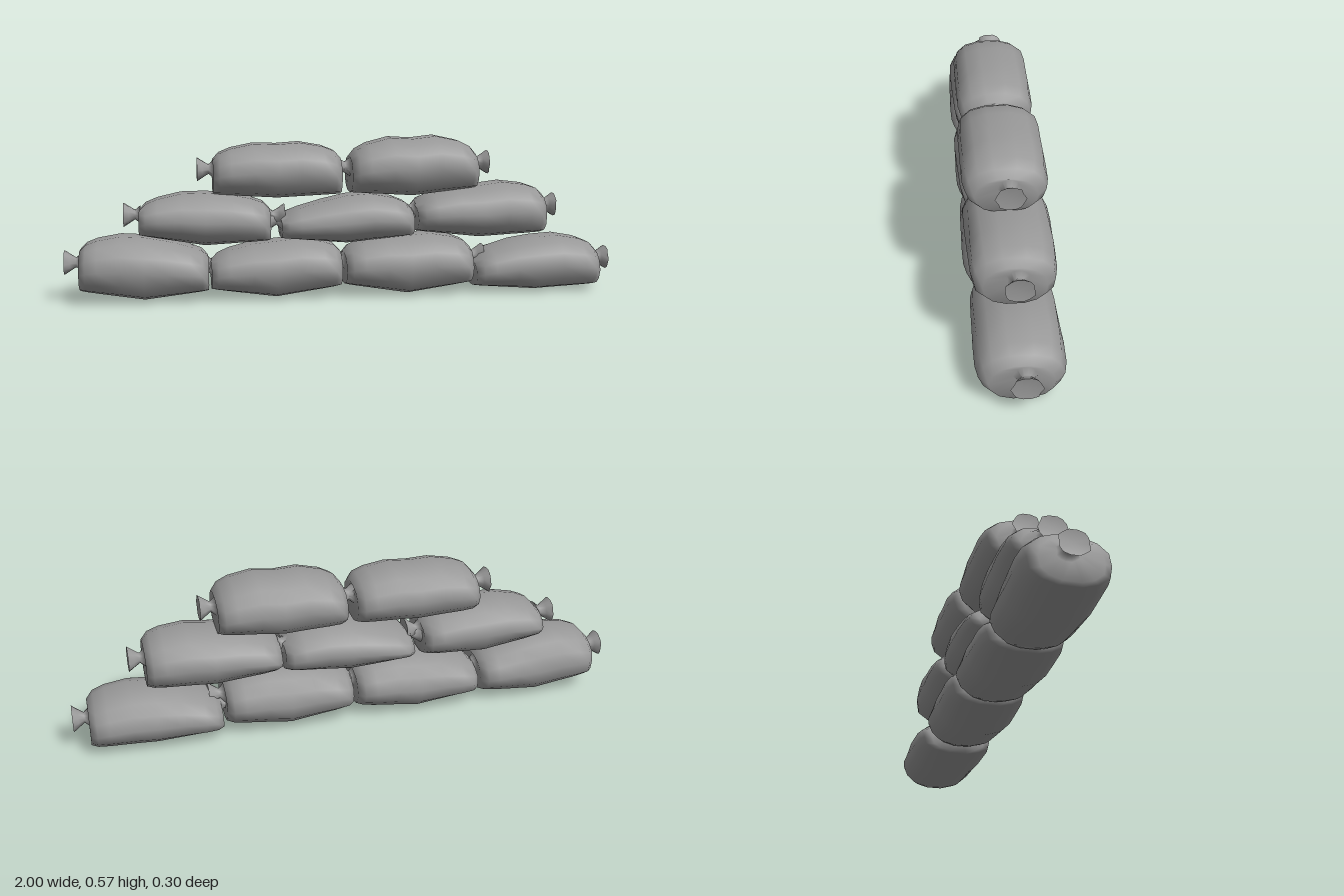
import * as THREE from 'three';

const SIDES = 14;

// Each bag: x range, z centre, half depth, heights along the top and the bottom
const BAGS = [
  // bottom row
  { name: 'bottomBag1', x: [-0.95, -0.5], z: 0.0, hz: 0.143, top: [0.2, 0.243, 0.236, 0.215, 0.17], bot: [0.045, 0.008, 0.035] },
  { name: 'bottomBag2', x: [-0.49, -0.025], z: 0.0, hz: 0.143, top: [0.15, 0.2, 0.212, 0.222, 0.18], bot: [0.04, 0.006, 0.04] },
  { name: 'bottomBag3', x: [-0.01, 0.455], z: 0.0, hz: 0.145, top: [0.17, 0.218, 0.222, 0.23, 0.185], bot: [0.045, 0.006, 0.04] },
  { name: 'bottomBag4', x: [0.47, 0.935], z: -0.008, hz: 0.144, top: [0.13, 0.185, 0.203, 0.211, 0.165], bot: [0.025, 0.006, 0.018] },
  // middle row
  { name: 'middleBag1', x: [-0.74, -0.28], z: 0.006, hz: 0.135, top: [0.34, 0.388, 0.39, 0.382, 0.34], bot: [0.24, 0.2, 0.212] },
  { name: 'middleBag2', x: [-0.24, 0.235], z: 0.005, hz: 0.142, top: [0.3, 0.345, 0.372, 0.38, 0.33], bot: [0.22, 0.198, 0.22] },
  { name: 'middleBag3', x: [0.25, 0.725], z: -0.003, hz: 0.144, top: [0.34, 0.39, 0.4, 0.415, 0.375], bot: [0.235, 0.208, 0.22] },
  // top row
  { name: 'topBag1', x: [-0.48, -0.025], z: 0.0, hz: 0.137, top: [0.515, 0.562, 0.558, 0.566, 0.52], bot: [0.38, 0.365, 0.375] },
  { name: 'topBag2', x: [0.01, 0.468], z: 0.004, hz: 0.144, top: [0.52, 0.58, 0.573, 0.586, 0.53], bot: [0.38, 0.365, 0.39] },
];

// Piecewise-linear sample of evenly spaced values, t from 0 to 1
function sample(values, t) {
  const f = Math.min(Math.max(t, 0), 1) * (values.length - 1);
  const i = Math.min(Math.floor(f), values.length - 2);
  return THREE.MathUtils.lerp(values[i], values[i + 1], f - i);
}

// Closed skin over rings of points running along +x
function loft(rings) {
  const pos = [], index = [];
  const n = SIDES;
  rings.forEach(ring => ring.forEach(p => pos.push(...p)));
  for (let i = 0; i < rings.length - 1; i++) {
    for (let j = 0; j < n; j++) {
      const a = i * n + j, b = i * n + (j + 1) % n;
      index.push(a, a + n, b, b, a + n, b + n);
    }
  }
  // End caps have their own vertices, so their rims stay crisp
  [rings[0], rings[rings.length - 1]].forEach((ring, end) => {
    const base = pos.length / 3;
    const c = [0, 1, 2].map(k => ring.reduce((s, p) => s + p[k], 0) / n);
    c[0] += end ? -0.006 : 0.006;
    ring.forEach(p => pos.push(...p));
    pos.push(...c);
    for (let j = 0; j < n; j++) {
      const a = base + j, b = base + (j + 1) % n;
      index.push(base + n, end ? b : a, end ? a : b);
    }
  });
  const geo = new THREE.BufferGeometry();
  geo.setAttribute('position', new THREE.Float32BufferAttribute(pos, 3));
  geo.setIndex(index);
  geo.computeVertexNormals();
  return geo;
}

// One squarish oval cross-section with a little lumpiness
function section(x, z, hz, bottom, top, lump, seed) {
  const mid = bottom + (top - bottom) * 0.48;
  const ring = [];
  for (let j = 0; j < SIDES; j++) {
    const a = (j / SIDES) * Math.PI * 2;
    const c = Math.sign(Math.cos(a)) * Math.abs(Math.cos(a)) ** 0.85;
    const s = Math.sign(Math.sin(a)) * Math.abs(Math.sin(a)) ** 0.9;
    const w = 1 + lump * Math.sin(j * 2.7 + x * 9 + seed * 1.9);
    ring.push([x, mid + s * (s > 0 ? top - mid : mid - bottom), z + c * hz * w]);
  }
  return ring;
}

function bagGeometry({ x: [x0, x1], z, hz, top, bot }, seed) {
  // Tied end: flare tip, neck, collar (offset outwards, radius)
  const tie = [[0.055, 0.043], [0.035, 0.03], [0.014, 0.017], [-0.004, 0.032]];
  const tieRings = (x, dir, t) => {
    const y = (sample(top, t) + sample(bot, t)) / 2 + 0.02;
    return tie.map(([d, r]) =>
      section(x + dir * d, z - 0.01, r * 1.12, y - r, y + r, 0.1, seed));
  };
  // Body: position along the bag, depth factor
  const body = [[0, 0.72], [0.05, 0.92], [0.14, 0.98], [0.32, 1], [0.5, 1], [0.68, 1], [0.86, 0.98], [0.95, 0.92], [1, 0.72]]
    .map(([t, k]) => {
      const drop = t === 0 || t === 1 ? 0.012 : 0;
      const edge = Math.abs(t - 0.5) > 0.3 && !drop ? 0.006 : 0;
      return section(x0 + (x1 - x0) * t, z, hz * k, sample(bot, t), sample(top, t) - drop + edge * 0.5, 0.02, seed);
    });
  return loft([...tieRings(x0, -1, 0), ...body, ...tieRings(x1, 1, 1).reverse()]);
}

export function createModel() {
  const model = new THREE.Group();
  model.name = 'sandbagWall';
  const cloth = new THREE.MeshStandardMaterial({ color: 0x999999 });
  cloth.name = 'greyCloth';
  BAGS.forEach((bag, i) => {
    const mesh = new THREE.Mesh(bagGeometry(bag, i), cloth);
    mesh.name = bag.name;
    model.add(mesh);
  });
  return model;
}
